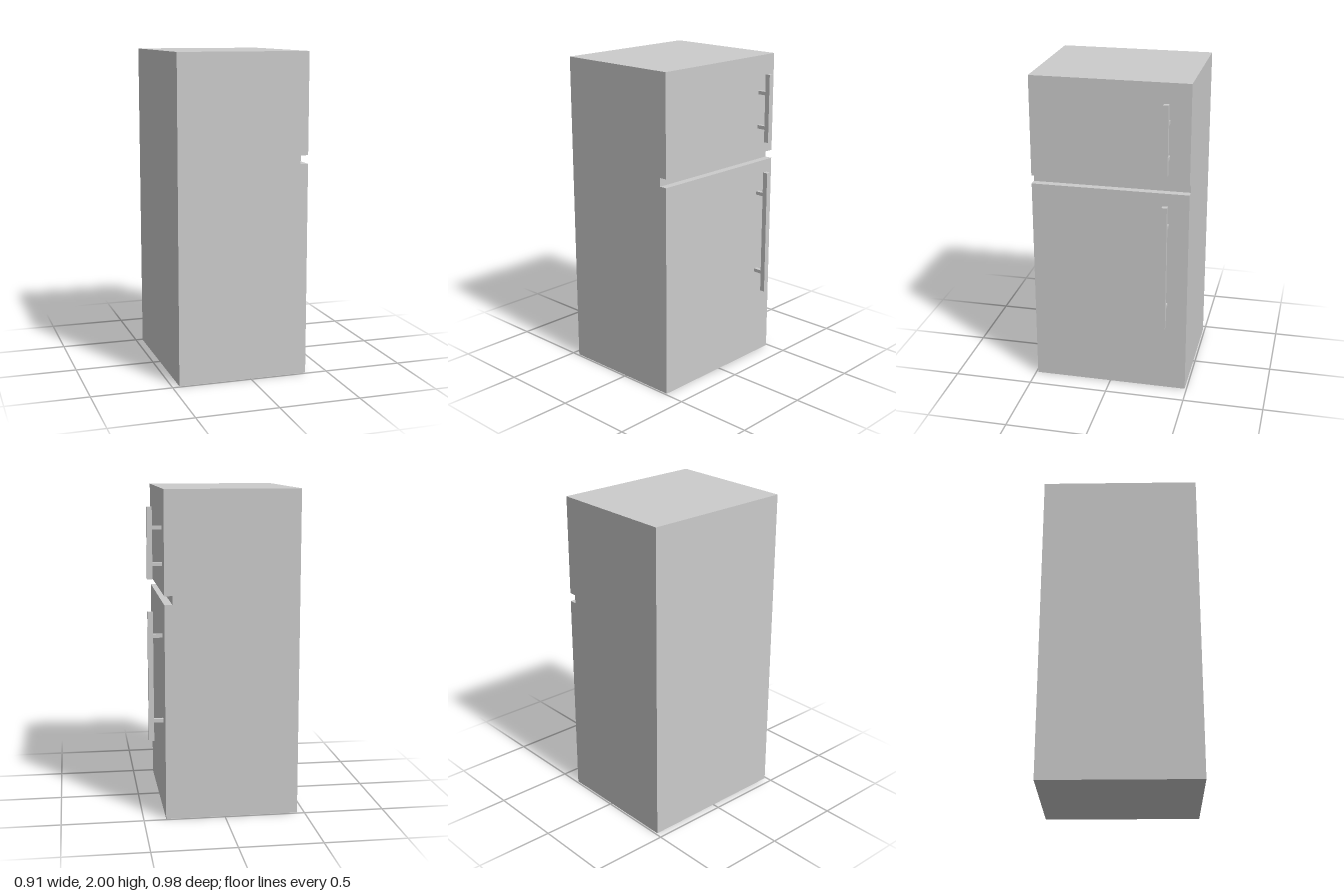
import * as THREE from 'three';

const material = new THREE.MeshStandardMaterial({ color: 0xcccccc, flatShading: true });

// Box given by its limits on each axis
function box(name, [x0, x1], [y0, y1], [z0, z1]) {
  const mesh = new THREE.Mesh(new THREE.BoxGeometry(x1 - x0, y1 - y0, z1 - z0), material);
  mesh.position.set((x0 + x1) / 2, (y0 + y1) / 2, (z0 + z1) / 2);
  mesh.name = name;
  return mesh;
}

// Vertical bar on two short standoffs, fixed to the door side
function handle(name, bottom, top, standoffs) {
  const group = new THREE.Group();
  group.name = name;
  group.add(box('handleBar', [0.421, 0.453], [bottom, top], [-0.368, -0.336]));
  for (const y of standoffs) {
    group.add(box('handleStandoff', [0.36, 0.422], [y - 0.011, y + 0.011], [-0.366, -0.34]));
  }
  return group;
}

export function createModel() {
  const model = new THREE.Group();
  model.name = 'refrigerator';

  // Cabinet outline with the groove between the two doors
  const left = -0.455, right = 0.363, groove = 0.315, depth = 0.976;
  const outline = new THREE.Shape([
    [left, 0], [right, 0], [right, 1.323], [groove, 1.323],
    [groove, 1.376], [right, 1.376], [right, 2], [left, 2],
  ].map(([x, y]) => new THREE.Vector2(x, y)));
  const geometry = new THREE.ExtrudeGeometry(outline, { depth, bevelEnabled: false });
  geometry.translate(0, 0, -depth / 2);
  const cabinet = new THREE.Mesh(geometry, material);
  cabinet.name = 'cabinet';
  model.add(cabinet);

  // Freezer and main door handles
  model.add(handle('freezerHandle', 1.462, 1.891, [1.77, 1.552]));
  model.add(handle('mainDoorHandle', 0.463, 1.265, [1.118, 0.59]));

  return model;
}
